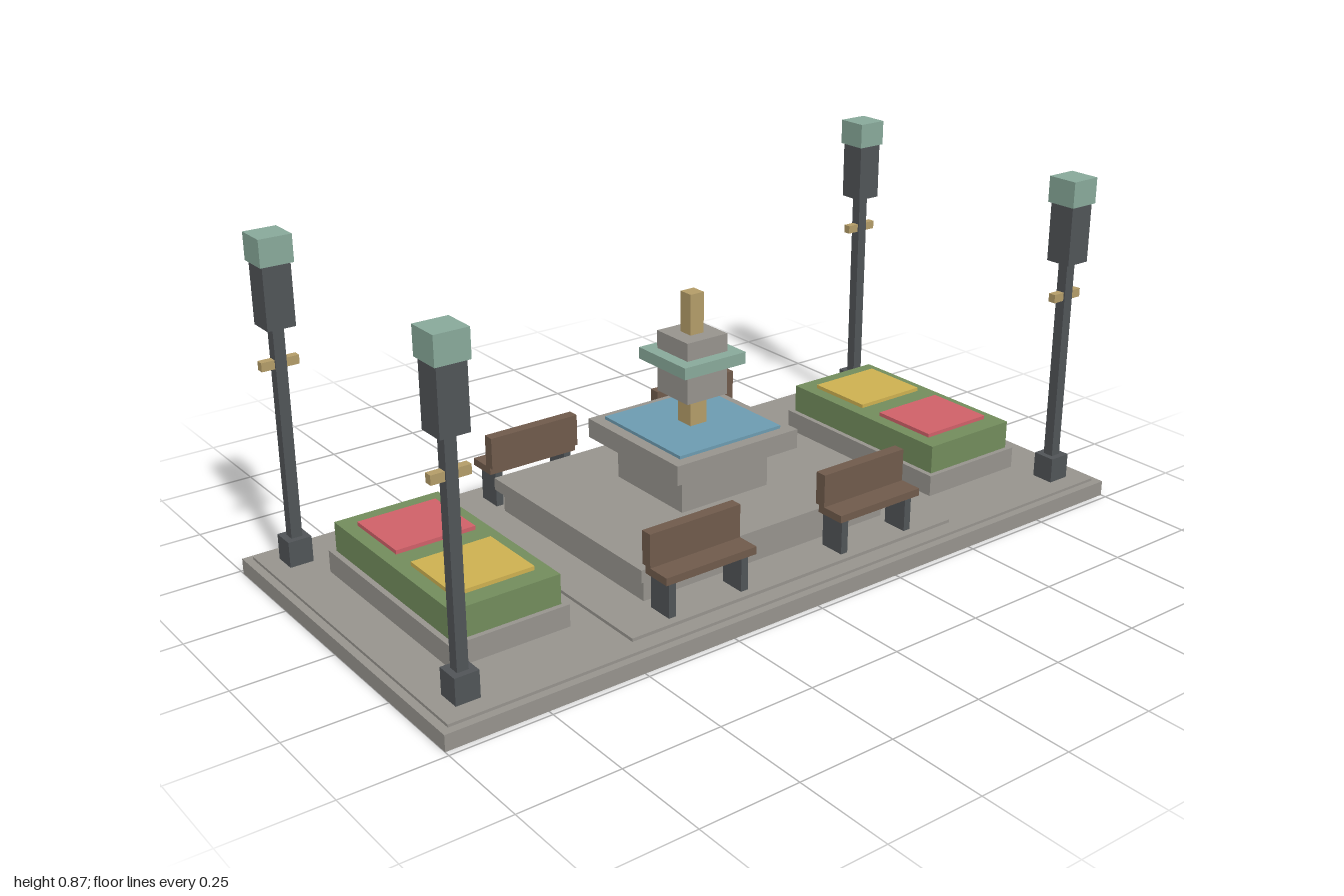
import * as THREE from 'three';

const mat = (name, color) => {
  const m = new THREE.MeshStandardMaterial({ color });
  m.name = name;
  return m;
};

export function createModel() {
  const stone = mat('stone', 0x96938d);
  const iron = mat('iron', 0x505457);
  const wood = mat('wood', 0x6f5a4b);
  const patina = mat('patina', 0x88a99a);
  const brass = mat('brass', 0xb39c68);
  const water = mat('water', 0x6c9bb0);
  const hedge = mat('hedge', 0x728c5c);
  const red = mat('redFlowers', 0xcf6068);
  const yellow = mat('yellowFlowers', 0xcdb050);

  // Box from half width, half depth, bottom and top heights, and centre
  const block = (parent, name, m, hx, hz, y0, y1, x = 0, z = 0) => {
    const mesh = new THREE.Mesh(new THREE.BoxGeometry(hx * 2, y1 - y0, hz * 2), m);
    mesh.position.set(x, (y0 + y1) / 2, z);
    mesh.name = name;
    parent.add(mesh);
  };
  const model = new THREE.Group();
  model.name = 'plaza';
  const group = (name, x = 0, z = 0) => {
    const g = new THREE.Group();
    g.name = name;
    g.position.set(x, 0, z);
    model.add(g);
    return g;
  };

  // Paving
  const paving = group('paving');
  block(paving, 'baseSlab', stone, 1, 0.485, 0, 0.04);
  block(paving, 'pavingStep', stone, 0.98, 0.465, 0.04, 0.047);
  block(paving, 'centrePaving', stone, 0.49, 0.423, 0.047, 0.055);
  block(paving, 'platform', stone, 0.37, 0.3, 0.055, 0.113);
  block(paving, 'platformTop', stone, 0.387, 0.316, 0.113, 0.145);

  // Fountain
  const fountain = group('fountain');
  block(fountain, 'pedestal', stone, 0.133, 0.133, 0.145, 0.25);
  block(fountain, 'basin', stone, 0.185, 0.185, 0.25, 0.3);
  block(fountain, 'waterSurface', water, 0.155, 0.155, 0.3, 0.308);
  block(fountain, 'lowerSpout', brass, 0.025, 0.025, 0.308, 0.385);
  block(fountain, 'column', stone, 0.061, 0.061, 0.385, 0.543);
  block(fountain, 'upperBowl', patina, 0.093, 0.093, 0.467, 0.497);
  block(fountain, 'finial', brass, 0.02, 0.02, 0.543, 0.647);

  for (const sx of [-1, 1]) {
    // Flower beds, with the colours swapped between the two sides
    const bed = group('flowerBed', sx * 0.713);
    block(bed, 'bedCurb', stone, 0.153, 0.283, 0.047, 0.103);
    block(bed, 'bedHedge', hedge, 0.139, 0.27, 0.103, 0.178);
    for (const sz of [-1, 1])
      block(bed, 'flowers', sx * sz > 0 ? red : yellow, 0.104, 0.093, 0.178, 0.188, 0, sz * 0.127);

    for (const sz of [-1, 1]) {
      // Lamp posts
      const lamp = group('lampPost', sx * 0.903, sz * 0.387);
      block(lamp, 'lampBase', iron, 0.03, 0.03, 0.047, 0.113);
      block(lamp, 'pole', iron, 0.014, 0.014, 0.113, 0.647);
      block(lamp, 'crossbar', brass, 0.047, 0.01, 0.545, 0.567);
      block(lamp, 'lantern', iron, 0.035, 0.035, 0.647, 0.8);
      block(lamp, 'lanternCap', patina, 0.041, 0.041, 0.8, 0.867);

      // Benches facing outward
      const bench = group('bench', sx * 0.259);
      block(bench, 'seat', wood, 0.129, 0.04, 0.147, 0.166, 0, sz * 0.373);
      block(bench, 'backrest', wood, 0.129, 0.015, 0.166, 0.25, 0, sz * 0.337);
      for (const s of [-1, 1])
        block(bench, 'benchLeg', iron, 0.01, 0.034, 0.055, 0.147, s * 0.104, sz * 0.367);
    }
  }
  return model;
}
